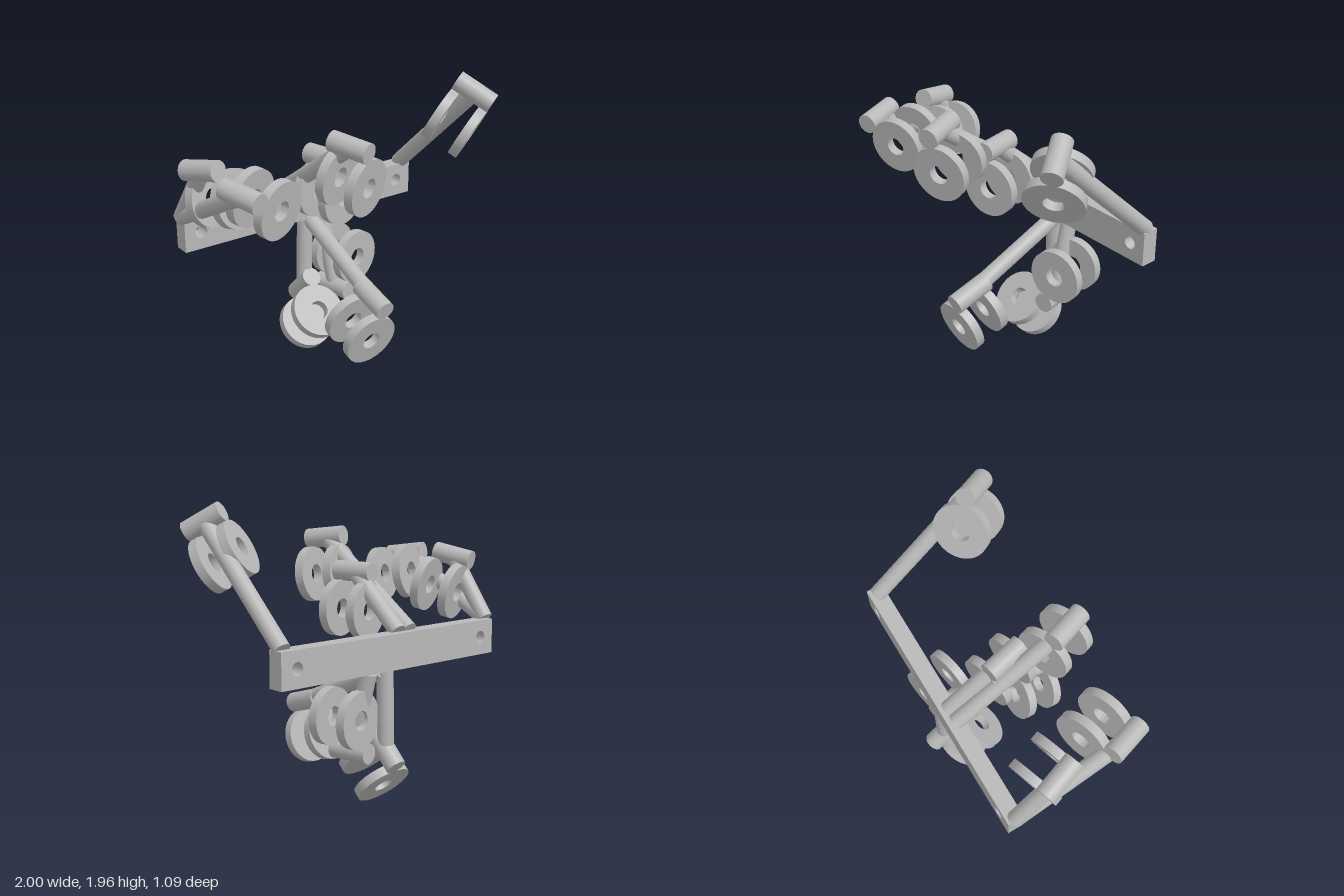
import * as THREE from 'three';
import { toCreasedNormals } from 'three/addons/utils/BufferGeometryUtils.js';

const UP = new THREE.Vector3(0, 1, 0);
const RING_R = 0.185, HOLE_R = 0.063, RING_T = 0.06;
const HANDLE_R = 0.066, ARM_R = 0.054, HANDLE_L = 0.27, RING_OFFSET = 0.245;

// start: arm foot on the bar; a, b: crossbar ends; side: direction from crossbar to rings
const UNITS = [
  { name: 'leftArm', start: [0.855, 1.15, -0.4], a: [0.79, 1.91, 0.25], b: [0.925, 1.775, 0.45], side: [-0.08, -0.215, -0.09] },
  { name: 'rightRearArm', start: [-0.89, 1.15, -0.4], a: [-0.93, 1.525, -0.225], b: [-0.85, 1.575, 0.015], side: [0.13, -0.205, 0] },
  { name: 'rightFrontArm', start: [-0.89, 1.15, -0.4], a: [-0.93, 1.555, 0.235], b: [-0.85, 1.52, 0.475], side: [0.21, -0.125, -0.088] },
  { name: 'middleRearArm', start: [-0.07, 1.15, -0.4], a: [-0.107, 1.495, -0.115], b: [-0.045, 1.495, 0.135], side: [0.03, -0.245, -0.01] },
  { name: 'middleFrontArm', start: [-0.168, 1.15, -0.4], a: [-0.2, 1.705, 0.275], b: [-0.115, 1.675, 0.51], side: [0.04, -0.245, -0.04] },
  { name: 'lowerFrontArm', start: [0.063, 0.92, -0.4], a: [0.063, 0.635, 0.225], b: [0.063, 0.56, 0.475], side: [-0.055, -0.235, -0.065] },
  { name: 'lowerSideArm', start: [0.18, 0.92, -0.4], a: [0.175, 0.4, -0.4], b: [0.23, 0.4, -0.14], side: [0.08, 0.23, -0.017] },
  { name: 'lowerRearArm', start: [0.04, 0.92, -0.4], a: [0.03, 0.497, -0.307], b: [0.03, 0.307, -0.497], side: [-0.055, -0.17, 0.17] },
];

export function createModel() {
  const model = new THREE.Group();
  const grey = new THREE.MeshStandardMaterial({ color: 0xb8b8b8 });
  grey.name = 'grey';

  const add = (parent, geometry, name) => {
    const mesh = new THREE.Mesh(geometry, grey);
    mesh.name = name;
    parent.add(mesh);
    return mesh;
  };

  // rod of a given radius between two points
  const rod = (parent, p, q, radius, name) => {
    const dir = q.clone().sub(p);
    const mesh = add(parent, new THREE.CylinderGeometry(radius, radius, dir.length(), 40), name);
    mesh.position.copy(p).lerp(q, 0.5);
    mesh.quaternion.setFromUnitVectors(UP, dir.normalize());
  };

  // mounting bar with a screw hole at each end
  const shape = new THREE.Shape();
  shape.moveTo(-0.905, 0.92).lineTo(0.905, 0.92).lineTo(0.905, 1.15).lineTo(-0.905, 1.15).closePath();
  for (const x of [-0.787, 0.787]) {
    shape.holes.push(new THREE.Path().absarc(x, 1.037, 0.042, 0, Math.PI * 2, true));
  }
  const bar = new THREE.ExtrudeGeometry(shape, { depth: 0.11, bevelEnabled: false, curveSegments: 24 });
  bar.translate(0, 0, -0.455);
  add(model, toCreasedNormals(bar, 0.6), 'mountingBar');

  // flat ring with a round hole
  const h = RING_T / 2;
  const profile = [[HOLE_R, -h], [RING_R, -h], [RING_R, h], [HOLE_R, h], [HOLE_R, -h]]
    .map(([x, y]) => new THREE.Vector2(x, y));
  const ringGeometry = toCreasedNormals(new THREE.LatheGeometry(profile, 48), 0.6);

  // each arm carries a crossbar with a ring flush at both ends
  for (const unit of UNITS) {
    const group = new THREE.Group();
    group.name = unit.name;
    model.add(group);
    const [start, a, b, side] = [unit.start, unit.a, unit.b, unit.side].map((v) => new THREE.Vector3(...v));
    const centre = a.clone().lerp(b, 0.5);
    const dir = b.clone().sub(a).normalize();
    const along = (t) => centre.clone().addScaledVector(dir, t);

    rod(group, start, centre, ARM_R, 'arm');
    rod(group, along(-HANDLE_L / 2), along(HANDLE_L / 2), HANDLE_R, 'crossbar');

    side.addScaledVector(dir, -side.dot(dir)).setLength(RING_OFFSET);
    for (const s of [-1, 1]) {
      const ring = add(group, ringGeometry, 'ring');
      ring.position.copy(along(s * (HANDLE_L / 2 - h))).add(side);
      ring.quaternion.setFromUnitVectors(UP, dir);
    }
  }
  return model;
}
